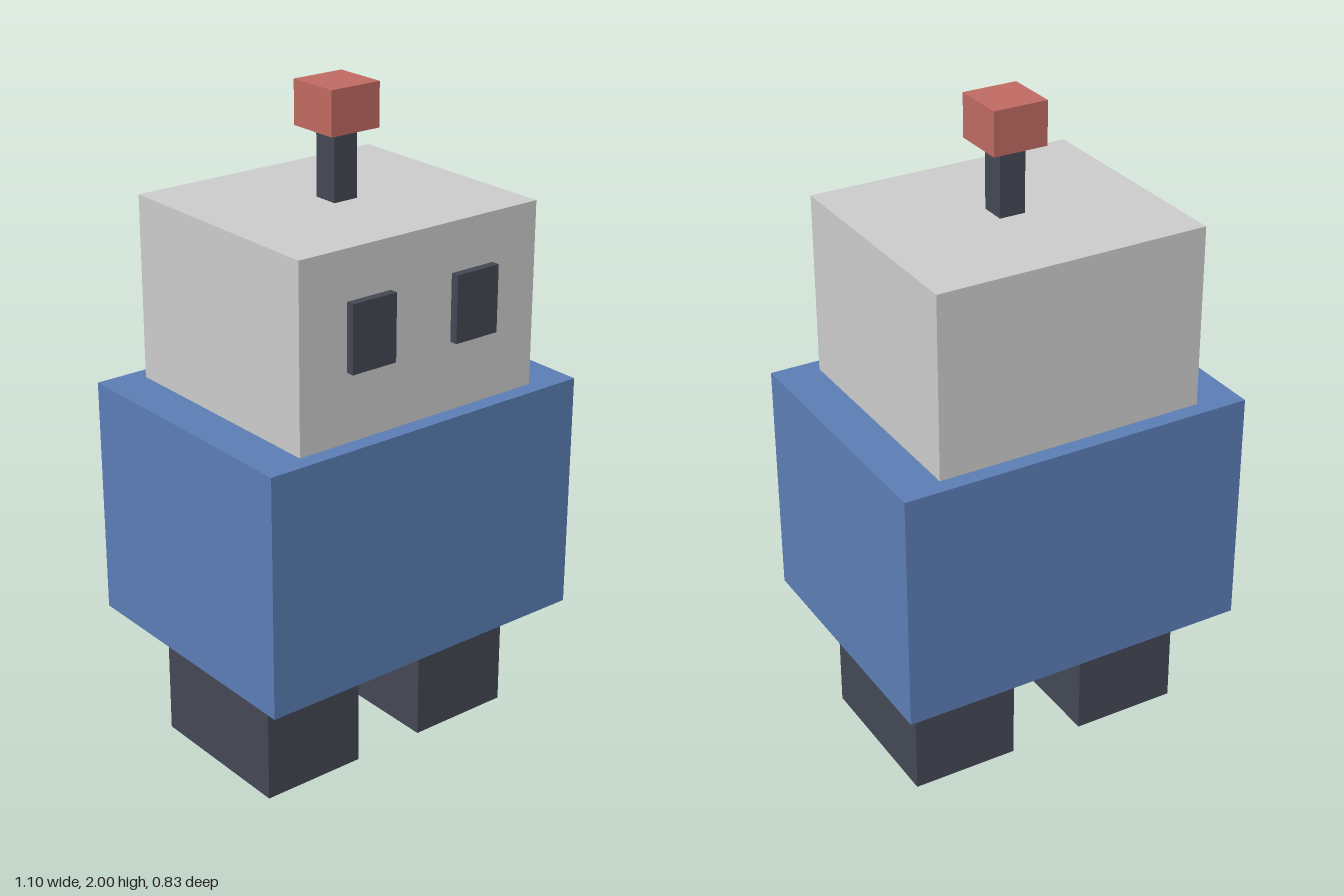
import * as THREE from 'three';

const paint = (color) => new THREE.MeshStandardMaterial({ color });

export function createModel() {
  const robot = new THREE.Group();
  robot.name = 'robot';
  const blue = paint(0x5b7db5);
  const grey = paint(0xcccccc);
  const dark = paint(0x444854);
  const red = paint(0xbf6a62);

  // Adds a box of size [w, h, d] standing on height y
  function block(name, [w, h, d], x, y, z, material) {
    const mesh = new THREE.Mesh(new THREE.BoxGeometry(w, h, d), material);
    mesh.name = name;
    mesh.position.set(x, y + h / 2, z);
    robot.add(mesh);
  }

  // Body and head
  block('torso', [1.1, 0.73, 0.834], 0, 0.385, 0, blue);
  block('head', [0.834, 0.552, 0.734], 0, 1.115, 0, grey);

  // Antenna
  block('antennaStem', [0.08, 0.203, 0.08], 0, 1.667, 0, dark);
  block('antennaTip', [0.167, 0.13, 0.167], 0, 1.87, 0, red);

  // Mirrored legs and eyes
  for (const [side, s] of [['left', 1], ['right', -1]]) {
    block(side + 'Leg', [0.333, 0.385, 0.5], s * 0.283, 0, 0, dark);
    block(side + 'Eye', [0.15, 0.2, 0.05], s * 0.183, 1.32, 0.367, dark);
  }
  return robot;
}
